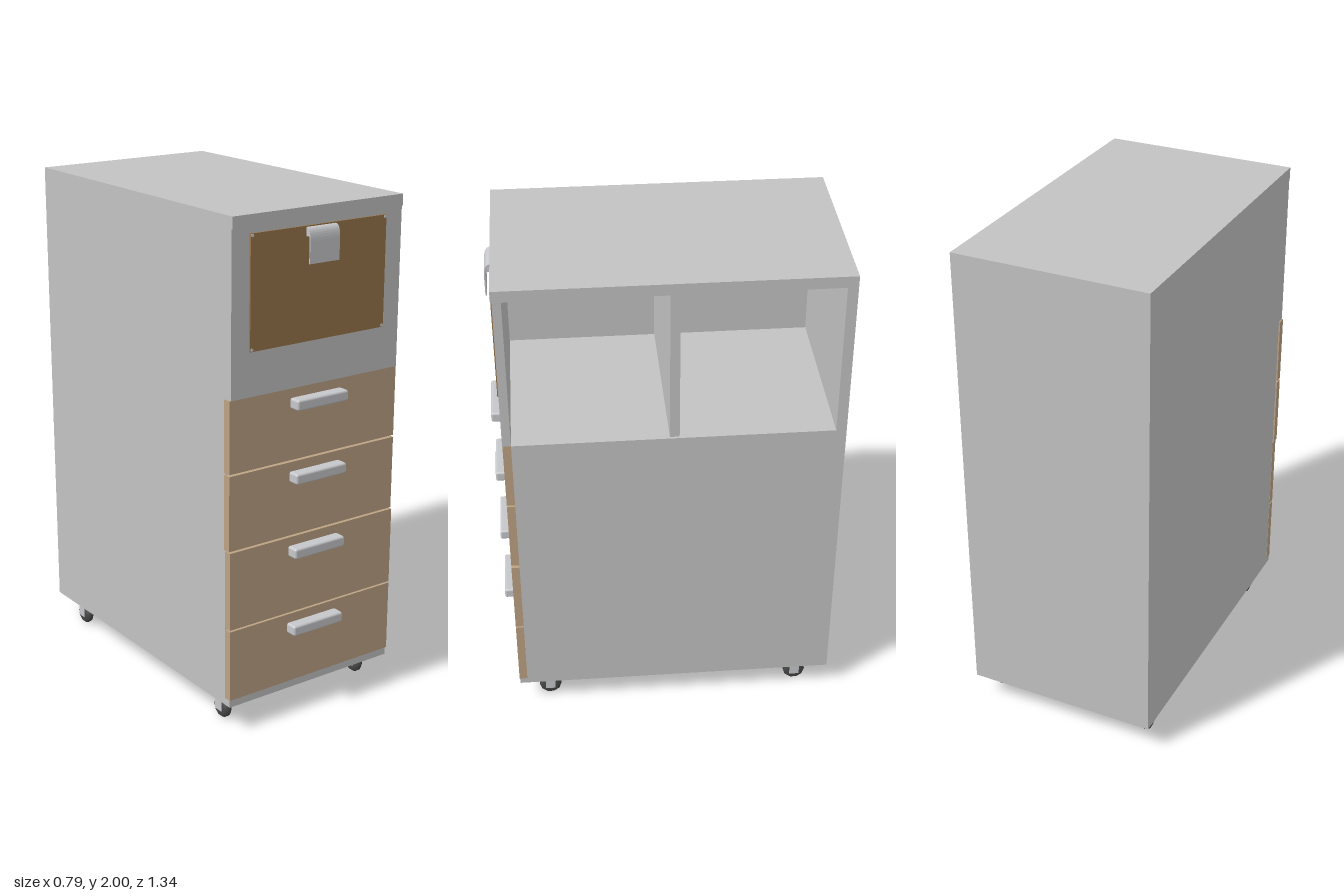
import * as THREE from 'three';
import { RoundedBoxGeometry } from 'three/addons/geometries/RoundedBoxGeometry.js';

const paint = (name, color) => {
  const m = new THREE.MeshStandardMaterial({ color });
  m.name = name;
  return m;
};

export function createModel() {
  const grey = paint('light grey', 0xc2c2c2);
  const wood = paint('light wood', 0xbca283);
  const brown = paint('brown wood', 0x98764a);
  const metal = paint('metal', 0xc6c7ca);
  const rubber = paint('dark rubber', 0x484848);

  const group = new THREE.Group();
  group.name = 'rollingCabinet';

  const add = (name, geometry, material, parent = group) => {
    const mesh = new THREE.Mesh(geometry, material);
    mesh.name = name;
    parent.add(mesh);
    return mesh;
  };
  // Box given by its limits on each axis
  const box = (name, material, x0, x1, y0, y1, z0, z1, parent) => {
    const mesh = add(name, new THREE.BoxGeometry(x1 - x0, y1 - y0, z1 - z0), material, parent);
    mesh.position.set((x0 + x1) / 2, (y0 + y1) / 2, (z0 + z1) / 2);
    return mesh;
  };

  // Carcass: closed lower body, with a shelf bay above open to the left side
  box('lowerBody', grey, -0.39, 0.39, 0.11, 1.335, -0.67, 0.595);
  box('bottomRail', grey, -0.39, 0.39, 0.11, 0.14, 0.595, 0.625);
  box('topPanel', grey, -0.39, 0.39, 1.955, 2, -0.67, 0.633);
  box('frontPanel', grey, -0.39, 0.39, 1.335, 1.955, 0.595, 0.628);
  box('backPanel', grey, -0.39, 0.39, 1.335, 1.955, -0.67, -0.63);
  box('sideWall', grey, -0.39, -0.35, 1.335, 1.955, -0.63, 0.595);
  box('divider', grey, -0.35, 0.38, 1.335, 1.955, -0.037, 0);

  // Drawers: bottom, top, sideways shift, handle height
  const drawers = [
    [0.14, 0.427, 0.002, 0.37],
    [0.434, 0.746, 0.002, 0.69],
    [0.754, 1.048, -0.003, 0.99],
    [1.056, 1.335, -0.003, 1.278],
  ];
  for (const [y0, y1, dx, handleY] of drawers) {
    box('drawerFront', wood, dx - 0.393, dx + 0.393, y0, y1, 0.595, 0.627);
    add('drawerHandle', new RoundedBoxGeometry(0.24, 0.042, 0.052, 3, 0.009), metal)
      .position.set(0, handleY, 0.647);
  }

  // Brown flap with small corner screws
  box('flap', brown, -0.312, 0.31, 1.505, 1.932, 0.626, 0.635);
  for (const x of [-0.305, 0.303]) for (const y of [1.512, 1.925]) {
    const screw = add('screw', new THREE.CylinderGeometry(0.006, 0.006, 0.003, 10), metal);
    screw.rotation.x = Math.PI / 2;
    screw.position.set(x, y, 0.636);
  }

  // Flap latch: a thin plate curving forward and down from its hinge
  const latch = new THREE.Shape();
  latch.moveTo(0.636, 1.928);
  latch.quadraticCurveTo(0.661, 1.928, 0.661, 1.88);
  latch.lineTo(0.661, 1.797);
  latch.lineTo(0.656, 1.797);
  latch.lineTo(0.656, 1.88);
  latch.quadraticCurveTo(0.656, 1.922, 0.636, 1.922);
  const latchGeo = new THREE.ExtrudeGeometry(latch, { depth: 0.136, bevelEnabled: false, curveSegments: 8 });
  latchGeo.rotateY(-Math.PI / 2); // profile x becomes z, depth runs along -x
  add('latch', latchGeo, metal).position.x = 0.068;
  for (const x of [-0.058, 0.058]) {
    box('latchHinge', metal, x - 0.008, x + 0.008, 1.895, 1.92, 0.635, 0.652);
  }

  // Casters: bevelled wheel between two fork plates
  const profile = [[0, -0.018], [0.026, -0.018], [0.04, -0.013], [0.046, -0.004],
    [0.046, 0.004], [0.04, 0.013], [0.026, 0.018], [0, 0.018]].map(p => new THREE.Vector2(...p));
  const wheelGeo = new THREE.LatheGeometry(profile, 10);
  wheelGeo.rotateZ(Math.PI / 2);
  for (const x of [-0.332, 0.332]) for (const z of [-0.54, 0.5]) {
    const caster = new THREE.Group();
    caster.name = 'caster';
    caster.position.set(x, 0, z);
    group.add(caster);
    add('wheel', wheelGeo, rubber, caster).position.y = 0.046;
    for (const s of [-1, 1]) {
      box('forkPlate', metal, s * 0.021 - 0.002, s * 0.021 + 0.002, 0.035, 0.11, -0.02, 0.02, caster);
    }
    box('forkTop', metal, -0.023, 0.023, 0.1, 0.111, -0.02, 0.02, caster);
  }

  return group;
}
